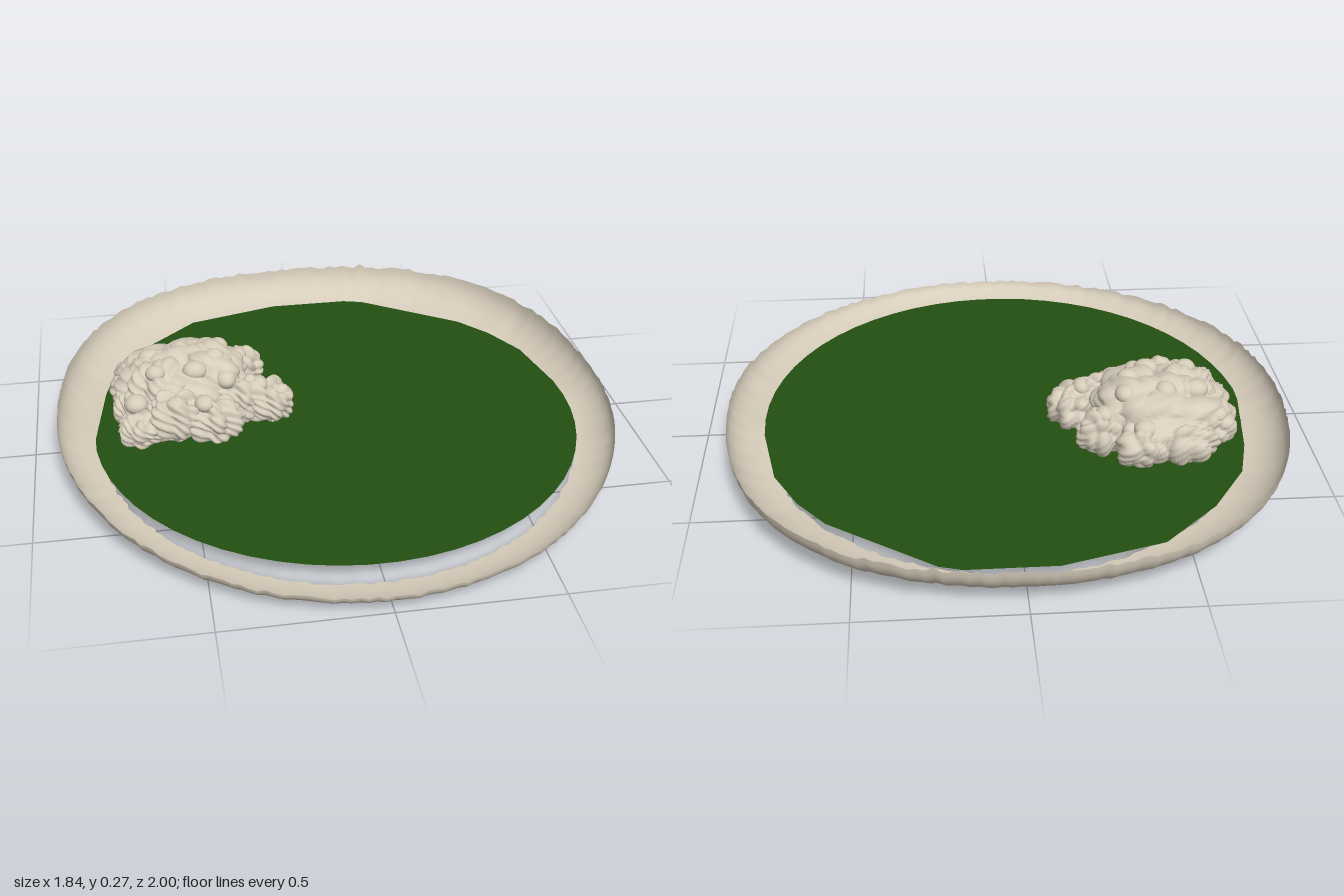
import * as THREE from 'three';

const rand = (n) => { const s = Math.sin(n * 127.1 + 11.7) * 43758.5453; return s - Math.floor(s); };

// Shallow tilted rim with a ragged upper lip and open bottom
function rimGeometry() {
  const N = 240, M = 10, pos = [], idx = [];
  for (let i = 0; i <= N; i++) {
    const k = i % N, a = (k / N) * Math.PI * 2;
    const z = Math.cos(a), x = Math.sin(a);
    const egg = z < 0 ? 1 + 0.05 * Math.sin(2 * a) ** 2 : 1;
    const hi = 0.12 - 0.045 * z - 0.02 * z * z + (rand(k) - 0.5) * 0.012 + (rand(k + 500) > 0.93 ? 0.008 : 0);
    const lo = z > 0 ? 0.035 * (1 - z) : 0.035 - (x > 0 ? 0.02 : 0.008) * Math.sin(Math.PI * z) ** 2 + 0.004 * z;
    const inner = 0.862 + (rand(k + 900) - 0.5) * 0.012;
    for (let j = 0; j <= M; j++) {
      const t = (j / M) * Math.PI / 2;
      const s = (inner + (1 - inner) * Math.sin(t)) * (1 + (egg - 1) * Math.sin(t));
      pos.push(0.92 * x * s, lo + (hi - lo) * (1 - Math.cos(t)), z * s);
      if (i < N && j < M) {
        const p = i * (M + 1) + j, q = p + M + 1;
        idx.push(p, p + 1, q, p + 1, q + 1, q);
      }
    }
  }
  const g = new THREE.BufferGeometry();
  g.setAttribute('position', new THREE.Float32BufferAttribute(pos, 3));
  g.setIndex(idx);
  g.computeVertexNormals();
  return g;
}

// Lumpy blob: a sphere swollen by folded sine noise, flattened at the floor
function lumpGeometry(cx, cy, cz, rx, ry, rz, seed, rough) {
  const g = new THREE.SphereGeometry(1, 56, 40), p = g.attributes.position;
  const v = new THREE.Vector3();
  for (let i = 0; i < p.count; i++) {
    v.fromBufferAttribute(p, i);
    const w = 0.5 * Math.sin(3 * v.z + seed);
    const f = Math.abs(Math.sin(4.1 * v.x + 2 * w + seed)) + Math.abs(Math.sin(4.7 * v.z + 1.7 * v.y + seed * 2.3))
      + 0.6 * Math.abs(Math.sin(9 * v.y + 7 * v.x + 3 * w + seed));
    v.multiplyScalar(1 - rough + rough * f / 2);
    p.setXYZ(i, cx + v.x * rx, Math.max(0.054, cy + v.y * ry), cz + v.z * rz);
  }
  g.computeVertexNormals();
  return g;
}

export function createModel() {
  const model = new THREE.Group();
  const cream = new THREE.MeshStandardMaterial({ color: 0xd6ccba, side: THREE.DoubleSide });
  cream.name = 'cream';
  const green = new THREE.MeshStandardMaterial({ color: 0x225010, side: THREE.DoubleSide });
  green.name = 'deep green';
  const add = (name, geo, mat, parent = model) => {
    const m = new THREE.Mesh(geo, mat);
    m.name = name;
    parent.add(m);
    return m;
  };

  add('rim', rimGeometry(), cream);

  // Flat green floor, smooth at the front and faceted at the back
  const outline = [[-0.8, 0.02], [-0.76, -0.27], [-0.72, -0.42], [-0.6, -0.6], [-0.42, -0.77], [-0.1, -0.86],
    [0.18, -0.86], [0.25, -0.84], [0.58, -0.61], [0.67, -0.5], [0.75, -0.35], [0.8, -0.1]];
  for (let i = 0; i <= 28; i++) {
    const a = (i / 29) * Math.PI;
    outline.push([0.805 * Math.cos(a), 0.845 * Math.sin(a)]);
  }
  const floor = new THREE.ShapeGeometry(new THREE.Shape(outline.map(([x, z]) => new THREE.Vector2(x, -z))));
  floor.rotateX(-Math.PI / 2);
  add('floor', floor, green).position.y = 0.055;

  // Heap of wrinkled lumps: centre, radii, roughness
  const heap = new THREE.Group();
  heap.name = 'heap';
  model.add(heap);
  const lumps = [
    [-0.49, 0.13, -0.17, 0.24, 0.13, 0.2, 0.25],
    [-0.42, 0.17, -0.16, 0.14, 0.1, 0.16, 0.25],
    [-0.56, 0.17, -0.12, 0.13, 0.09, 0.15, 0.3],
    [-0.22, 0.1, -0.06, 0.085, 0.075, 0.1, 0.4],
    [-0.3, 0.12, -0.04, 0.09, 0.08, 0.07, 0.4],
    [-0.65, 0.1, 0.06, 0.08, 0.06, 0.07, 0.35],
    [-0.54, 0.12, 0.03, 0.1, 0.09, 0.09, 0.4],
    [-0.41, 0.1, 0.04, 0.1, 0.08, 0.09, 0.4],
    [-0.29, 0.12, -0.26, 0.08, 0.08, 0.07, 0.4],
    [-0.41, 0.11, -0.33, 0.09, 0.07, 0.09, 0.35],
    [-0.55, 0.11, -0.31, 0.11, 0.08, 0.08, 0.35],
    [-0.65, 0.12, -0.2, 0.09, 0.08, 0.13, 0.35],
    [-0.67, 0.11, -0.07, 0.07, 0.07, 0.09, 0.35],
  ];
  lumps.forEach(([x, y, z, rx, ry, rz, r], i) =>
    add('lump', lumpGeometry(x, y, z, rx, ry, rz, 1.3 + i * 1.9, r), cream, heap));

  // Small knobs on the crown and around the edge
  const knobs = [[-0.5, 0.235, -0.21, 0.036], [-0.39, 0.245, -0.13, 0.03], [-0.59, 0.235, -0.06, 0.03],
    [-0.37, 0.235, -0.22, 0.032], [-0.6, 0.225, -0.19, 0.035], [-0.46, 0.235, -0.06, 0.035], [-0.36, 0.2, -0.05, 0.035],
    [-0.25, 0.17, -0.05, 0.03], [-0.2, 0.13, -0.1, 0.03], [-0.66, 0.16, 0.0, 0.035], [-0.44, 0.17, 0.05, 0.03],
    [-0.53, 0.18, 0.06, 0.03], [-0.42, 0.17, -0.33, 0.03], [-0.3, 0.18, -0.25, 0.028], [-0.66, 0.17, -0.26, 0.032]];
  knobs.forEach(([x, y, z, r]) => {
    const k = add('knob', new THREE.SphereGeometry(r, 16, 12), cream, heap);
    k.position.set(x, y, z);
    k.scale.set(1 + 0.3 * rand(x * 9), 0.9, 1 + 0.3 * rand(z * 7));
  });
  return model;
}
